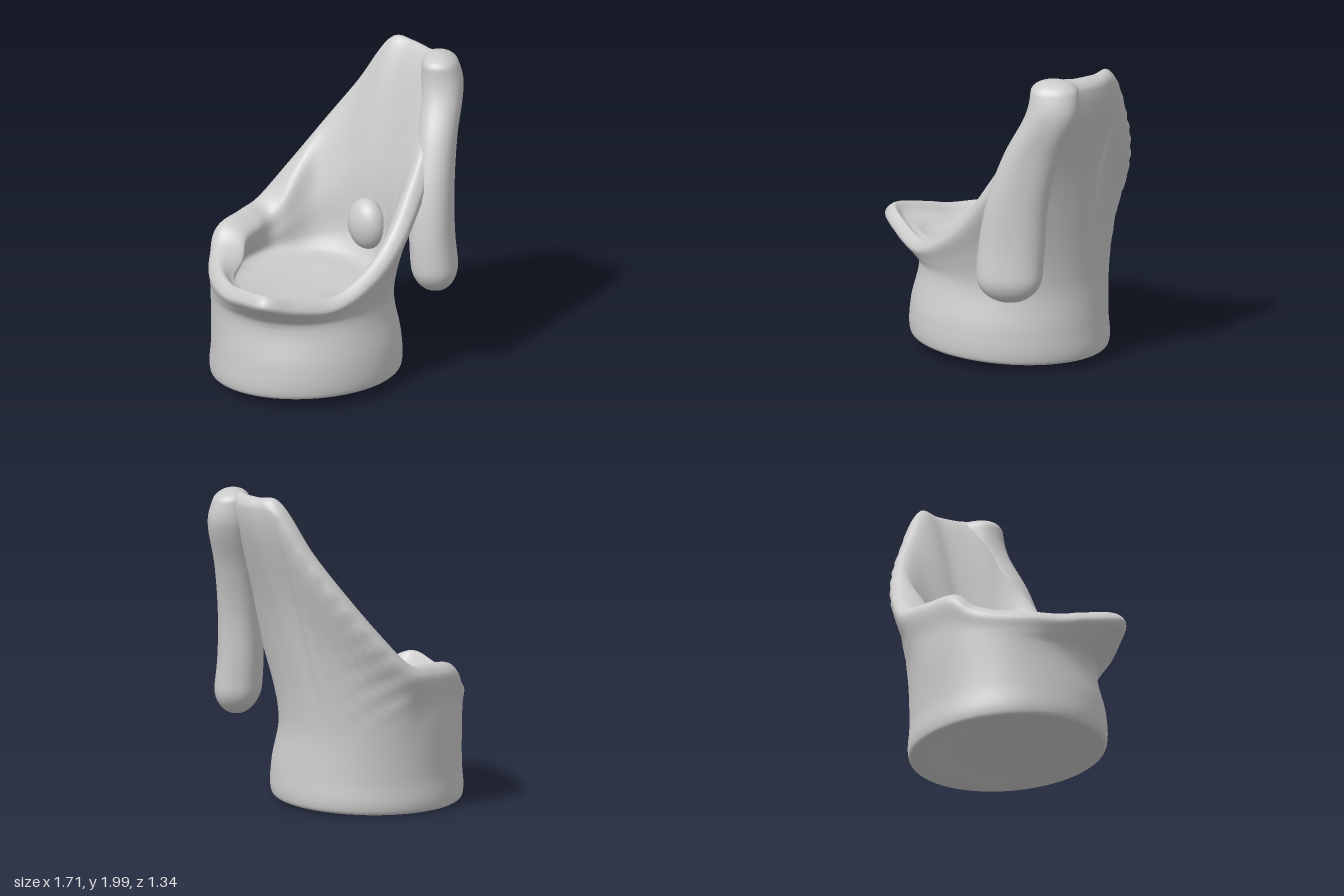
import * as THREE from 'three';

const V = (x, y, z) => new THREE.Vector3(x, y, z);
const spline = (pts, closed = false) => new THREE.CatmullRomCurve3(pts, closed, 'centripetal');
const { smoothstep } = THREE.MathUtils;
const material = new THREE.MeshStandardMaterial({ color: 0xcccccc, roughness: 0.8 });

// Skins a closed loop of columns, each running from the underside upward
function skin(columns, name) {
  const n = columns.length, m = columns[0].length, index = [];
  for (let i = 0; i < n; i++) {
    for (let j = 0; j < m - 1; j++) {
      const a = i * m + j, c = ((i + 1) % n) * m + j;
      index.push(a, a + 1, c, a + 1, c + 1, c);
    }
  }
  const geometry = new THREE.BufferGeometry().setFromPoints(columns.flat());
  geometry.setIndex(index);
  geometry.computeVertexNormals();
  const mesh = new THREE.Mesh(geometry, material);
  mesh.name = name;
  return mesh;
}

// Cup with an uneven flared lip that climbs into one tall back wall
function makeCup() {
  const rim = spline([
    [0.72, 1.95, 0], [0.71, 1.95, 0.14], [0.68, 1.95, 0.3], [0.59, 1.74, 0.38], [0.45, 1.47, 0.45],
    [0.29, 1.23, 0.49], [0.1, 0.98, 0.52], [-0.1, 0.81, 0.525], [-0.35, 0.69, 0.49],
    [-0.6, 0.72, 0.44], [-0.79, 0.78, 0.37], [-0.77, 0.75, 0.15], [-0.73, 0.72, 0],
    [-0.66, 0.72, -0.17], [-0.53, 0.74, -0.36], [-0.45, 0.78, -0.44], [-0.36, 0.87, -0.51],
    [-0.15, 0.89, -0.57], [0.02, 0.91, -0.61], [0.2, 1.09, -0.56], [0.4, 1.36, -0.45],
    [0.56, 1.63, -0.31], [0.69, 1.95, -0.12],
  ].map(p => V(...p)), true);
  const cx = -0.13, N = 200, M = 72, columns = [];
  const baseY = (x, z) => 0.036 + 0.058 * z - 0.012 * x;
  for (let i = 0; i < N; i++) {
    const r = rim.getPoint(i / N);
    const a = Math.atan2(r.z, r.x - cx), c = Math.cos(a), s = Math.sin(a);
    // The base is slightly narrower across one diagonal
    const skew = 1 - 0.022 * Math.sin(2 * a);
    const foot = (k, dy, dz = 0) => {
      const x = cx + 0.61 * k * skew * c, z = 0.595 * k * skew * s + dz - 0.005;
      return V(x, baseY(x, z) + dy, z);
    };
    const neck = foot(0.95, 0, -0.035);
    neck.y = 0.54;
    const lip = (d, dy) => V(r.x + c * d, r.y + dy, r.z + s * d);
    const tall = r.y - 0.7;
    // The lip is broad and rolls inward along the low back
    const back = smoothstep(-s, 0.35, 0.85) * (1 - smoothstep(r.y, 1, 1.4));
    const outer = lip(0.06, -0.03), inner = lip(-0.06 - 0.09 * back, -0.03);
    const outerMid = neck.clone().lerp(outer, 0.5);
    outerMid.x -= c * 0.035 * tall;
    outerMid.z -= s * 0.035 * tall;
    const floorAt = (k, y) => V(cx + 0.5 * k * c, y, 0.48 * k * s);
    // The floor spreads out to the lip where the lip is low
    const floorEdge = floorAt(0.88, 0.67);
    const spread = 0.4 * (1 - smoothstep(r.y, 0.74, 1));
    floorEdge.x += (inner.x - floorEdge.x) * spread;
    floorEdge.z += (inner.z - floorEdge.z) * spread;
    const innerMid = inner.clone().lerp(floorEdge, 0.55);
    innerMid.x -= c * 0.03 * tall;
    innerMid.z -= s * 0.03 * tall;
    const profile = spline([
      V(cx, 0.1, 0), foot(0.5, 0.06), foot(0.88, 0.008), foot(0.975, 0.012), foot(1, 0.06),
      foot(0.985, 0.22), neck, outerMid, outer, lip(0, 0.03), inner, innerMid,
      floorEdge, floorAt(0.45, 0.64), V(cx, 0.63, 0),
    ]);
    const column = [];
    for (let j = 0; j <= M; j++) {
      const u = j / M, p = profile.getPoint(u);
      // Shallow ripples on the outside of the tall wall
      if (u > 0.43 && u < 0.6 && s < 0.1 && c > 0.1) {
        const fade = Math.sin((u - 0.43) / 0.17 * Math.PI) * Math.min(1, tall * 1.5)
          * Math.min(1, (0.1 - s) * 3) * Math.min(1, (c - 0.1) * 3);
        const d = 0.01 * fade * Math.sin(p.y * 42 + a * 12);
        p.x += c * d;
        p.z += s * d;
      }
      column.push(p);
    }
    columns.push(column);
  }
  return skin(columns, 'cup');
}

// Thick rounded strap draped down the front corner of the tall wall
function makeStrap() {
  const path = spline([
    [0.495, 0.55, 0.49], [0.487, 0.7, 0.485], [0.485, 0.9, 0.465], [0.515, 1.2, 0.44],
    [0.59, 1.5, 0.39], [0.7, 1.8, 0.315], [0.69, 2.0, 0.29],
  ].map(p => V(...p)));
  // x: half width, y: half thickness
  const sizes = spline([
    V(0.2, 0.14, 0), V(0.205, 0.145, 0), V(0.205, 0.14, 0), V(0.19, 0.13, 0),
    V(0.175, 0.125, 0), V(0.16, 0.13, 0), V(0.14, 0.1, 0),
  ]);
  const N = 48, M = 70, columns = [];
  const out = V(1, 0, 1).normalize(), side = V(-1, 0, 1).normalize();
  const soft = v => Math.sign(v) * Math.abs(v) ** 0.85;
  for (let i = 0; i < N; i++) {
    const a = i / N * Math.PI * 2, column = [];
    for (let j = 0; j <= M; j++) {
      // Dense sampling at both ends keeps the caps round
      const t = (1 - Math.cos(j / M * Math.PI)) / 2;
      const low = Math.min(1, t / 0.2), high = Math.min(1, (1 - t) / 0.06);
      const cap = Math.sqrt(Math.max(0, 1 - (1 - low) ** 2)) * Math.sqrt(Math.max(0, 1 - (1 - high) ** 2));
      const size = sizes.getPoint(t);
      column.push(path.getPoint(t)
        .addScaledVector(out, soft(Math.cos(a)) * size.y * cap)
        .addScaledVector(side, soft(Math.sin(a)) * size.x * cap));
    }
    columns.push(column);
  }
  return skin(columns, 'strap');
}

export function createModel() {
  const model = new THREE.Group();
  model.add(makeCup(), makeStrap());

  // Round lump at the foot of the tall wall, on the inside
  const lump = new THREE.Mesh(new THREE.SphereGeometry(0.12, 32, 24), material);
  lump.scale.set(0.85, 1.35, 1.15);
  lump.position.set(0.335, 0.88, 0.03);
  lump.name = 'innerLump';
  model.add(lump);
  return model;
}
